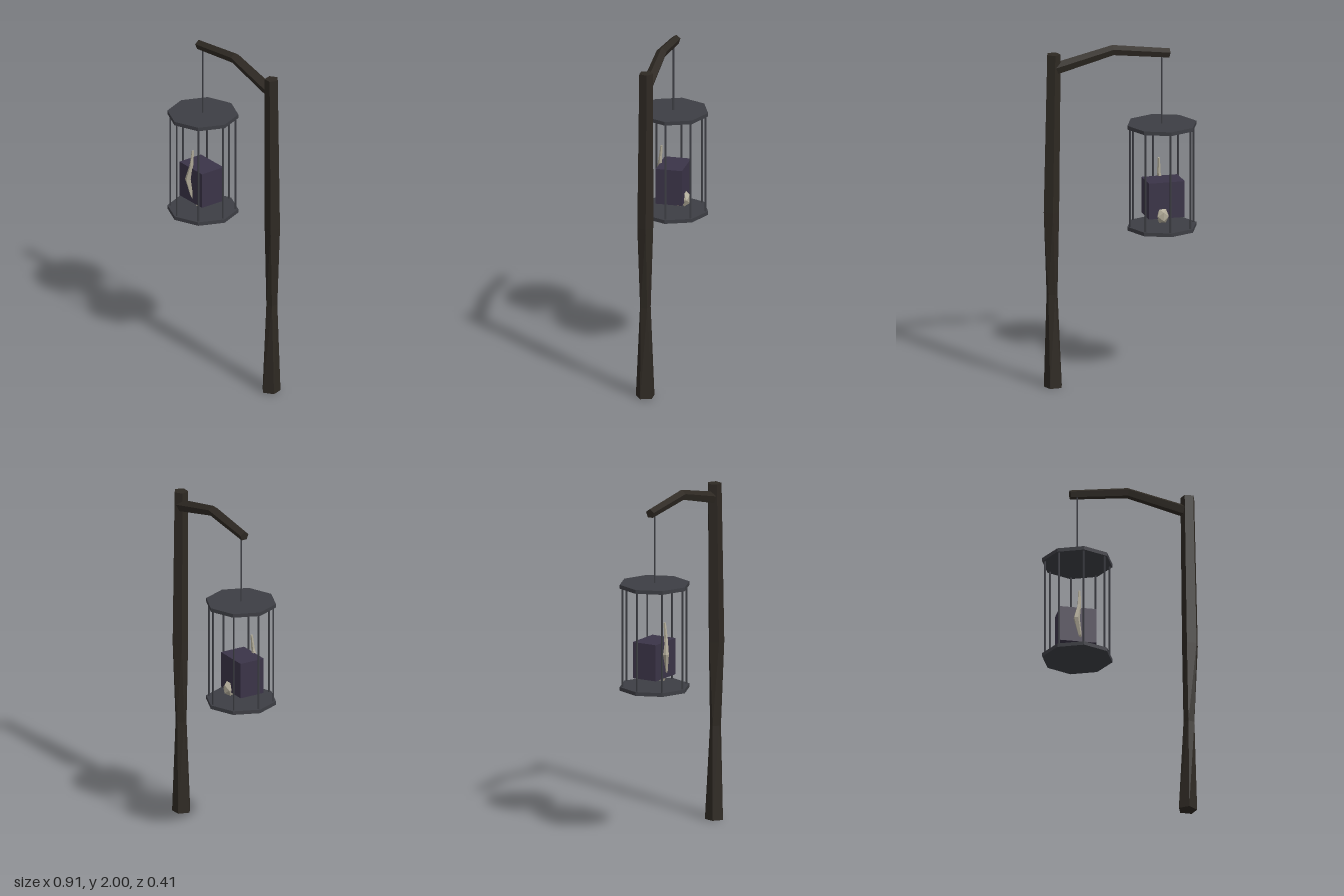
import * as THREE from 'three';

const mat = (color) => new THREE.MeshStandardMaterial({ color, flatShading: true, roughness: 0.9 });

// Closed faceted loft through rings [x, y, z, radius, phaseDegrees]
function loft(rings, sides, ref) {
  const pos = [], idx = [];
  const centres = rings.map(([x, y, z]) => new THREE.Vector3(x, y, z));
  const last = rings.length - 1;
  rings.forEach(([, , , r, phase = 0], i) => {
    const t = centres[Math.min(i + 1, last)].clone().sub(centres[Math.max(i - 1, 0)]).normalize();
    const u = ref.clone().addScaledVector(t, -ref.dot(t)).normalize();
    const v = t.clone().cross(u);
    for (let j = 0; j < sides; j++) {
      const a = THREE.MathUtils.degToRad(phase) + (j / sides) * Math.PI * 2;
      const p = centres[i].clone().addScaledVector(u, r * Math.cos(a)).addScaledVector(v, r * Math.sin(a));
      pos.push(p.x, p.y, p.z);
    }
  });
  for (let i = 0; i < last; i++) {
    for (let j = 0; j < sides; j++) {
      const a = i * sides + j, b = i * sides + (j + 1) % sides;
      idx.push(a, b, b + sides, a, b + sides, a + sides);
    }
  }
  for (let j = 1; j < sides - 1; j++) {
    const e = last * sides;
    idx.push(0, j + 1, j, e, e + j, e + j + 1);
  }
  const g = new THREE.BufferGeometry();
  g.setAttribute('position', new THREE.Float32BufferAttribute(pos, 3));
  g.setIndex(idx);
  const flat = g.toNonIndexed();
  flat.computeVertexNormals();
  return flat;
}

export function createModel() {
  const model = new THREE.Group();
  const wood = mat(0x2e2923), iron = mat(0x3d3e44), cloth = mat(0x3b3448), bone = mat(0xb0aa98);
  const X = new THREE.Vector3(1, 0, 0), Z = new THREE.Vector3(0, 0, 1);
  const add = (parent, name, geometry, material, x = 0, y = 0, z = 0) => {
    const mesh = new THREE.Mesh(geometry, material);
    mesh.name = name;
    mesh.position.set(x, y, z);
    parent.add(mesh);
    return mesh;
  };

  // Crooked five-sided post and the bent arm at its top
  add(model, 'post', loft([
    [0.387, 0, 0.003, 0.056, -90],
    [0.397, 0.55, 0.003, 0.033, -108],
    [0.405, 1.04, 0, 0.048, -126],
    [0.39, 1.97, -0.002, 0.042, -126],
  ], 5, X), wood);
  add(model, 'arm', loft([
    [0.39, 1.882, -0.005, 0.036, 90],
    [0.04, 1.969, -0.005, 0.031, 90],
    [-0.295, 1.927, -0.004, 0.028, 90],
  ], 5, Z), wood);

  // Hanging octagonal cage
  const cage = new THREE.Group();
  cage.name = 'cage';
  cage.position.x = -0.253;
  model.add(cage);
  add(cage, 'hangingRod', new THREE.CylinderGeometry(0.005, 0.005, 0.42, 6), iron, 0, 1.71, 0);
  for (const [name, y] of [['cageFloor', 0.903], ['cageRoof', 1.502]]) {
    add(cage, name, new THREE.CylinderGeometry(0.204, 0.204, 0.022, 8), iron, 0, y, 0);
  }
  for (let i = 0; i < 8; i++) {
    const a = (i * Math.PI) / 4;
    add(cage, 'cageBar', new THREE.CylinderGeometry(0.006, 0.006, 0.6, 6), iron,
      0.188 * Math.cos(a), 1.2, 0.188 * Math.sin(a));
  }

  // Dark block and the bones around it
  add(cage, 'block', new THREE.BoxGeometry(0.212, 0.212, 0.155), cloth, -0.009, 1.075, 0.003);
  add(cage, 'longBone', loft([
    [-0.002, 1.29, 0.07, 0.007],
    [-0.004, 1.2, 0.079, 0.011],
    [-0.022, 1.11, 0.089, 0.019],
    [0, 1.01, 0.077, 0.011],
    [0.012, 0.953, 0.05, 0.014],
    [0.016, 0.95, -0.05, 0.014],
  ], 5, X), bone);
  add(cage, 'skull', new THREE.IcosahedronGeometry(0.04, 0), bone, 0.016, 0.985, -0.072)
    .scale.set(0.95, 1.2, 0.85);
  return model;
}
